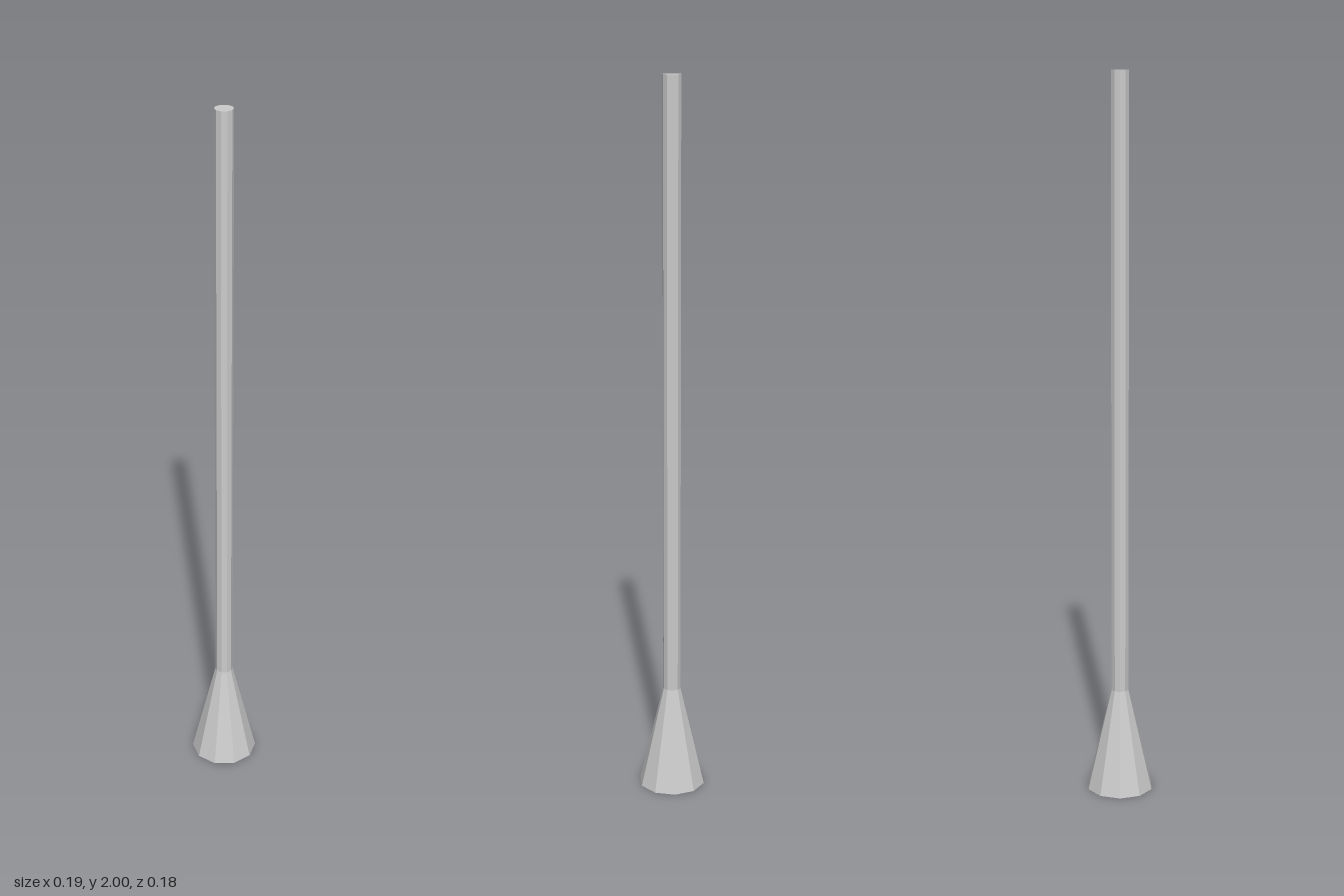
import * as THREE from 'three';

const SIDES = 10;
const BASE_RADIUS = 0.094;
const POLE_RADIUS = 0.025;
const BASE_HEIGHT = 0.29;
const HEIGHT = 2;

export function createModel() {
  const model = new THREE.Group();
  model.name = 'post';
  const material = new THREE.MeshStandardMaterial({ color: 0xcccccc, flatShading: true });

  // Turns a bottom-to-top profile into a ten-sided part with corners on the x axis
  function addTurned(name, profile) {
    const points = profile.map(([r, y]) => new THREE.Vector2(r, y));
    const mesh = new THREE.Mesh(new THREE.LatheGeometry(points, SIDES, Math.PI / 2), material);
    mesh.name = name;
    model.add(mesh);
  }

  // Flared foot, closed underneath
  addTurned('flaredBase', [[0, 0], [BASE_RADIUS, 0], [POLE_RADIUS, BASE_HEIGHT]]);

  // Straight pole, closed at the top
  addTurned('pole', [[POLE_RADIUS, BASE_HEIGHT], [POLE_RADIUS, HEIGHT], [0, HEIGHT]]);

  return model;
}
